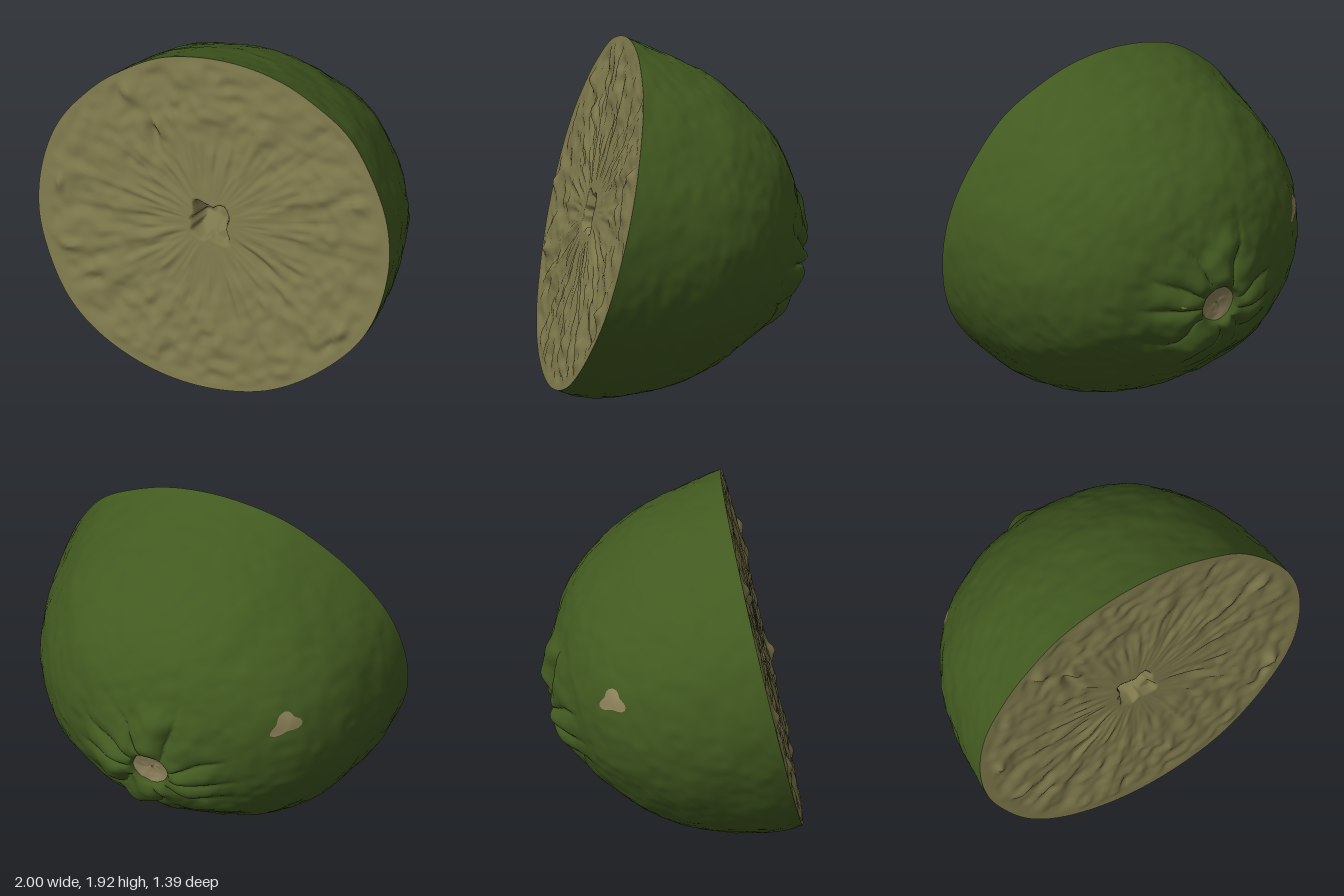
import * as THREE from 'three';

// ---- smooth value noise from an integer hash ----
function hash(i, j, k) {
  let h = Math.imul(i, 374761393) ^ Math.imul(j, 668265263) ^ Math.imul(k, 1274126177);
  h = Math.imul(h ^ (h >>> 13), 1103515245);
  return ((h ^ (h >>> 16)) >>> 0) / 4294967295;
}
function noise(x, y, z) {
  const X = Math.floor(x), Y = Math.floor(y), Z = Math.floor(z);
  const f = (a) => a * a * (3 - 2 * a);
  const u = f(x - X), v = f(y - Y), w = f(z - Z);
  let sum = 0;
  for (let c = 0; c < 8; c++) {
    const a = c & 1, b = (c >> 1) & 1, d = c >> 2;
    sum += hash(X + a, Y + b, Z + d) * (a ? u : 1 - u) * (b ? v : 1 - v) * (d ? w : 1 - w);
  }
  return sum * 2 - 1;
}
const step = THREE.MathUtils.smoothstep;

// ---- closed ring grid: point(s, angle) with s from 0 to 1 ----
function ringGrid(rings, sides, point) {
  const pos = [], index = [];
  for (let i = 0; i <= rings; i++) {
    for (let j = 0; j < sides; j++) pos.push(...point(i / rings, (j / sides) * Math.PI * 2));
  }
  for (let i = 0; i < rings; i++) {
    for (let j = 0; j < sides; j++) {
      const k = (j + 1) % sides;
      const a = i * sides + j, b = a + sides, c = i * sides + k, d = c + sides;
      index.push(a, b, c, b, d, c);
    }
  }
  const g = new THREE.BufferGeometry();
  g.setAttribute('position', new THREE.Float32BufferAttribute(pos, 3));
  g.setIndex(index);
  g.computeVertexNormals();
  return g;
}

// ---- dome profiles: depth behind the cut, and radius upward, sideways, downward ----
const depth = [0, 0.15, 0.3, 0.5, 0.65, 0.8, 0.95, 1.04, 1.11, 1.145, 1.15, 1.13, 1.08];
const curve = (radii) => new THREE.SplineCurve(radii.map((r, i) => new THREE.Vector2(r, depth[i])));
const up = curve([0.957, 0.925, 0.89, 0.833, 0.757, 0.66, 0.53, 0.4, 0.28, 0.19, 0.13, 0.105, 0.085]);
const side = curve([0.998, 0.985, 0.96, 0.915, 0.85, 0.752, 0.585, 0.42, 0.29, 0.19, 0.13, 0.105, 0.085]);
const down = curve([0.957, 0.965, 0.935, 0.865, 0.78, 0.665, 0.485, 0.365, 0.28, 0.19, 0.13, 0.105, 0.085]);

function profile(s, angle) {
  const k = Math.sin(angle) ** 2;
  const p = side.getPoint(s).lerp((Math.sin(angle) > 0 ? up : down).getPoint(s), k);
  // slightly uneven outline
  p.x *= 1 + 0.016 * noise(Math.cos(angle) * 3, Math.sin(angle) * 3, 4) * Math.sin(2 * angle) ** 2;
  return p;
}

function skinPoint(s, angle, lift = 0) {
  const p = profile(s, angle);
  const x = p.x * Math.cos(angle), y = p.x * Math.sin(angle);
  // pebbled rind
  let d = 0.005 * noise(x * 19, y * 19, p.y * 19) + 0.006 * noise(x * 6, y * 6, p.y * 6);
  d *= step(p.y, 0, 0.08);
  // puckered lobes with creases around the stem
  const a = angle + 0.25 * noise(x * 5 + 9, y * 5, 3) + 0.22 * Math.sin(2 * angle);
  const lobe = Math.abs(Math.sin(4.5 * a + 0.8)) ** 0.5 - 0.75;
  const zone = step(p.x, 0.09, 0.19) * (1 - step(p.x, 0.24, 0.52));
  d += zone * (0.048 * lobe + 0.02 * noise(x * 9, y * 9, 7)) + lift;
  // push away from a point inside the dome; the stem end sags a little
  const n = new THREE.Vector3(x, y, -p.y + 0.3).normalize().multiplyScalar(d);
  return [x + n.x, y + n.y - 0.03 * step(p.y, 0.85, 1.08), -p.y + n.z];
}

// ---- cut flesh: lumps are [x, y, length, width, height, direction] ----
const lumps = [
  [-0.38, 0.44, 0.09, 0.03, -0.03, 1.9], [-0.36, 0.49, 0.07, 0.02, 0.03, 2.2],
  [-0.55, 0.65, 0.05, 0.03, 0.03, 2.4], [-0.88, 0.04, 0.04, 0.025, 0.03, 1.5],
  [-0.78, -0.31, 0.06, 0.03, 0.035, 0.3], [-0.64, -0.48, 0.06, 0.03, -0.03, 0.5],
  [0.75, -0.46, 0.07, 0.04, 0.035, 1.2], [0.7, -0.55, 0.05, 0.03, -0.03, 0.8],
  [0.08, -0.68, 0.05, 0.03, 0.03, 1.5], [0.8, 0.31, 0.06, 0.03, 0.025, 0.4],
  [0.3, -0.18, 0.12, 0.02, -0.025, -0.6], [0.58, 0.28, 0.09, 0.03, 0.02, 0.45],
  [-0.2, -0.8, 0.04, 0.03, -0.02, 1.3], [0, 0.8, 0.04, 0.04, -0.02, 1.6],
];

function fleshPoint(s, angle) {
  const r = s * profile(0, angle).x;
  const x = r * Math.cos(angle), y = r * Math.sin(angle);
  const cx = Math.cos(angle), cy = Math.sin(angle);
  // streaks running outward from the core, fading at the rim
  let h = 0.01 * noise(cx * 8, cy * 8, r * 4) + 0.011 * noise(cx * 17, cy * 17, r * 8);
  h *= step(r, 0.08, 0.45);
  h += 0.009 * noise(x * 18, y * 18, 5) * step(r, 0.2, 0.7);
  for (const [lx, ly, len, wid, high, dir] of lumps) {
    const c = Math.cos(dir), q = Math.sin(dir);
    const a = ((x - lx) * c + (y - ly) * q) / len, b = ((y - ly) * c - (x - lx) * q) / wid;
    h += high * Math.exp(-a * a - b * b);
  }
  h *= step(r, 0.08, 0.2) * (1 - step(s, 0.9, 0.99));
  // ragged four-cornered hollow in the core, deepest at the upper left
  const edge = 0.118 - 0.014 * Math.cos(4 * angle) + 0.02 * noise(cx * 3, cy * 3, 2);
  const floor = 0.1 + 0.5 * (y - x) + 0.03 * noise(x * 20, y * 20, 1);
  h -= Math.max(floor, 0.04) * (1 - step(r, edge - 0.03, edge + 0.005));
  return [x - 0.02 * (1 - step(r, 0.1, 0.4)), y, h];
}

export function createModel() {
  const material = (name, color) => Object.assign(new THREE.MeshStandardMaterial({ color }), { name });
  const green = material('rind green', 0x425a20);
  const cream = material('flesh olive', 0x7b764a);
  const tan = material('scar tan', 0x93875f);

  const model = new THREE.Group();
  model.name = 'halfCitrusFruit';

  // the half fruit leans back, its cut facing forward and a little upward
  const fruit = new THREE.Group();
  fruit.name = 'fruit';
  const n = new THREE.Vector3(0.035, 0.214, 0.976).normalize();
  const x = new THREE.Vector3(0, 1, 0).cross(n).normalize();
  fruit.quaternion.setFromRotationMatrix(new THREE.Matrix4().makeBasis(x, n.clone().cross(x), n));
  fruit.position.set(0, 0.985, 0.485);
  model.add(fruit);

  const add = (name, geometry, mat) => {
    const mesh = new THREE.Mesh(geometry, mat);
    mesh.name = name;
    fruit.add(mesh);
  };

  add('rind', ringGrid(140, 220, (s, a) => skinPoint(s, a)), green);
  add('cutFlesh', ringGrid(100, 220, fleshPoint), cream);

  // shallow dish where the stem was
  add('stemScar', ringGrid(8, 32, (s, a) => {
    const r = 0.112 * (1 - s);
    const z = -1.125 + 0.02 * (1 - (1 - s) ** 2) + 0.003 * noise(r * 60, a * 3, 1);
    return [r * Math.cos(a), r * Math.sin(a) - 0.03, z];
  }), tan);

  // blemishes: [profile position, angle, size], laid just over the rind, rings closing inward
  const blemish = (name, s0, a0, size) => add(name, ringGrid(6, 24, (s, a) => {
    const r = (1 - s) * size * (1 + 0.25 * Math.cos(3 * a + 0.6));
    return skinPoint(s0 + r * 0.55 * Math.sin(a), a0 - r * 1.35 * Math.cos(a), 0.004);
  }), tan);
  tan.side = THREE.DoubleSide;
  blemish('sideBlemish', 0.425, 2.79, 0.06);
  blemish('stemBlemish', 0.7, 0.15, 0.02);

  return model;
}
